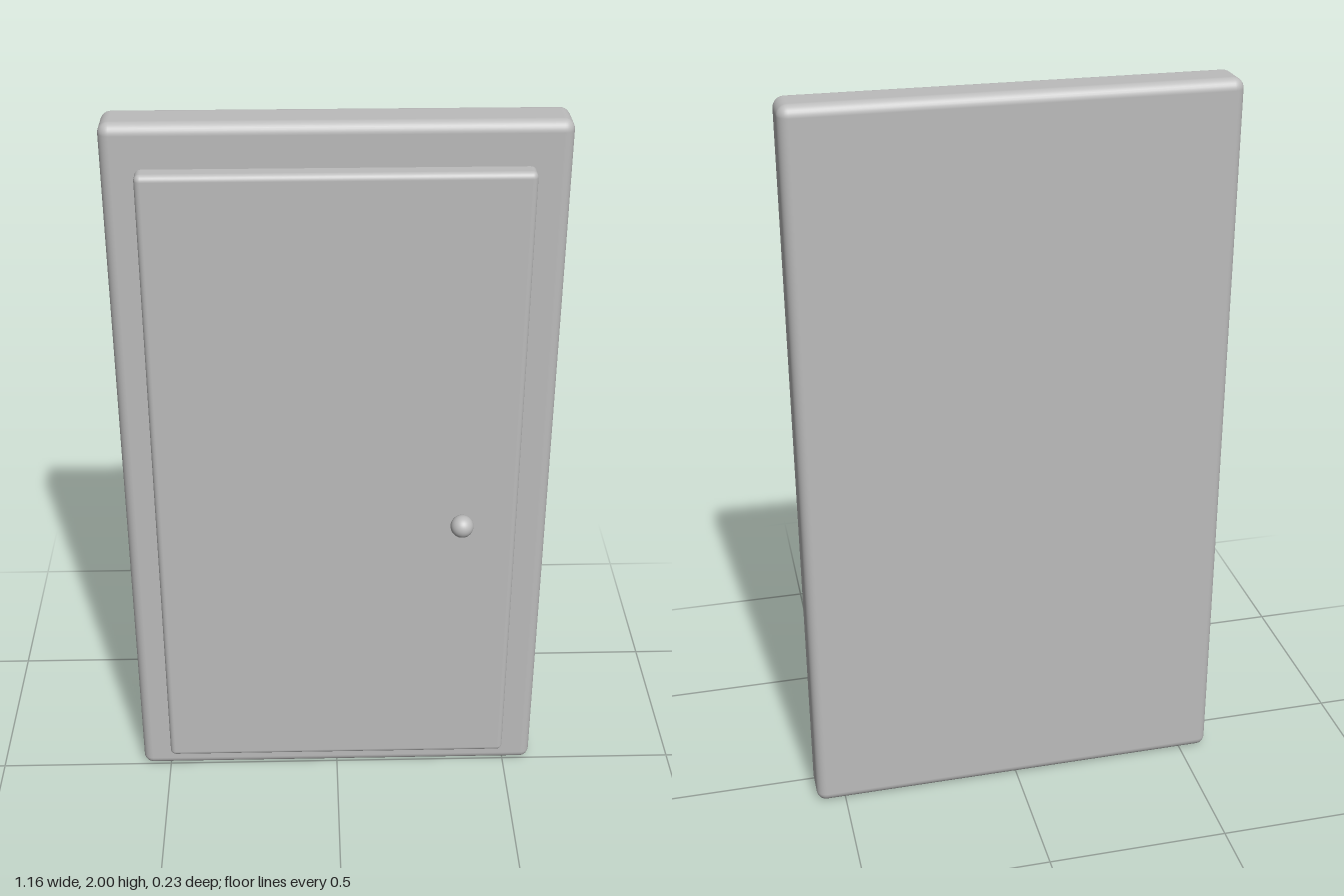
import * as THREE from 'three';
import { RoundedBoxGeometry } from 'three/addons/geometries/RoundedBoxGeometry.js';

const grey = new THREE.MeshStandardMaterial({ color: 0xbcbcbc });
grey.name = 'plain grey';

// Rounded slab whose half-width narrows from bottom to top
function taperedSlab(name, bottomHalf, topHalf, y0, y1, z0, z1, radius) {
  const height = y1 - y0;
  const geometry = new RoundedBoxGeometry(bottomHalf * 2, height, z1 - z0, 4, radius);
  const pos = geometry.attributes.position;
  for (let i = 0; i < pos.count; i++) {
    const t = pos.getY(i) / height + 0.5;
    pos.setX(i, pos.getX(i) * THREE.MathUtils.lerp(1, topHalf / bottomHalf, t));
  }
  geometry.translate(0, (y0 + y1) / 2, (z0 + z1) / 2);
  const mesh = new THREE.Mesh(geometry, grey);
  mesh.name = name;
  return mesh;
}

export function createModel() {
  const model = new THREE.Group();
  model.name = 'door';

  // Backing frame and the raised door panel
  model.add(taperedSlab('frame', 0.58, 0.566, 0, 2, -0.118, 0.007, 0.028));
  const panel = taperedSlab('doorPanel', 0.492, 0.481, 0.075, 1.89, -0.03, 0.052, 0.016);
  panel.position.x = -0.002;
  model.add(panel);

  // Round knob
  const knob = new THREE.Mesh(new THREE.SphereGeometry(0.031, 32, 20), grey);
  knob.name = 'knob';
  knob.position.set(0.333, 0.908, 0.086);
  model.add(knob);

  return model;
}
